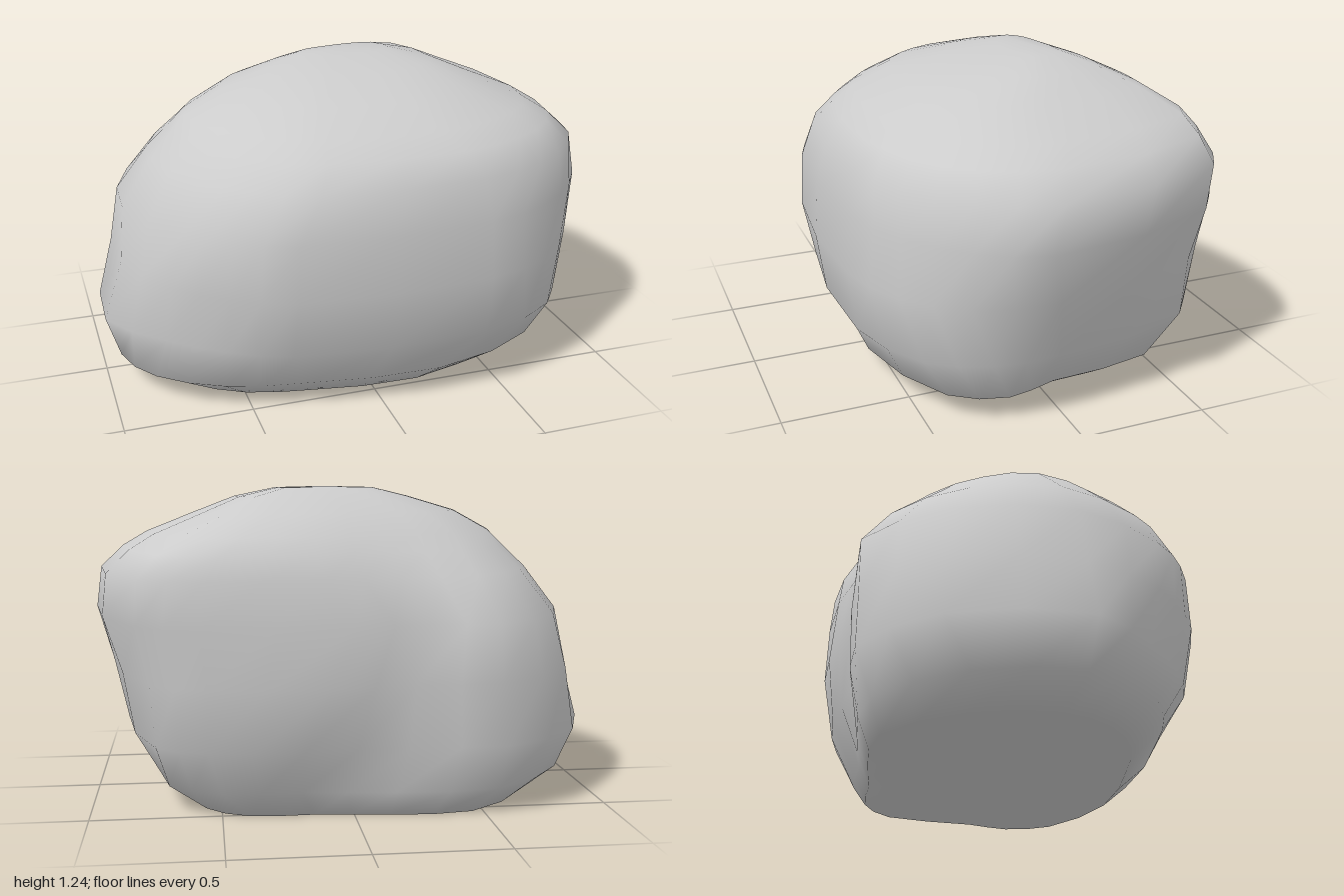
import * as THREE from 'three';

// Key outlines from below to above: [height, x, z, x, z, ...],
// running from the left side (+x) round the front, right side and back
const OUTLINES = [
  [0.1, 0.75, 0, 0.8, 0.2, 0.7, 0.41, 0.25, 0.58, -0.3, 0.53, -0.6, 0.46, -0.84, 0.3,
    -0.945, 0.08, -0.86, -0.3, -0.55, -0.6, -0.15, -0.61, 0.2, -0.57, 0.5, -0.56, 0.7, -0.42],
  [0.28, 0.87, 0.05, 0.86, 0.3, 0.74, 0.52, 0.4, 0.67, -0.37, 0.64, -0.6, 0.53, -0.8, 0.37,
    -1, 0.12, -0.9, -0.38, -0.57, -0.64, -0.2, -0.62, 0.2, -0.66, 0.55, -0.62, 0.74, -0.52],
  [0.52, 0.93, 0.08, 0.87, 0.4, 0.68, 0.61, 0.4, 0.72, -0.37, 0.71, -0.6, 0.6, -0.79, 0.43,
    -0.93, 0.12, -0.88, -0.36, -0.55, -0.65, -0.22, -0.65, 0.1, -0.71, 0.55, -0.68, 0.76, -0.54],
  [0.74, 1, 0.12, 0.88, 0.38, 0.67, 0.57, 0.4, 0.68, -0.35, 0.68, -0.58, 0.58, -0.73, 0.44,
    -0.9, 0.08, -0.82, -0.36, -0.53, -0.67, -0.27, -0.645, 0.02, -0.71, 0.58, -0.705, 0.81, -0.59],
  [1.06, 0.78, 0, 0.7, 0.28, 0.5, 0.44, 0.25, 0.52, -0.2, 0.5, -0.4, 0.4, -0.54, 0.25,
    -0.63, 0, -0.56, -0.2, -0.4, -0.38, -0.1, -0.5, 0.15, -0.58, 0.42, -0.61, 0.64, -0.56],
];

// Extents of every ring: height, min x, max x, min z, max z
const LEVELS = [
  [0, -0.78, 0.64, -0.57, 0.47],
  [0.1, -0.945, 0.8, -0.62, 0.585],
  [0.28, -1, 0.88, -0.68, 0.685],
  [0.52, -0.93, 0.93, -0.72, 0.72],
  [0.74, -0.9, 1, -0.715, 0.705],
  [0.91, -0.78, 0.975, -0.7, 0.675],
  [1, -0.69, 0.88, -0.65, 0.6],
  [1.06, -0.63, 0.78, -0.61, 0.52],
  [1.14, -0.48, 0.58, -0.49, 0.37],
  [1.2, -0.27, 0.43, -0.36, 0.14],
  [1.235, -0.12, 0.27, -0.25, -0.06],
];
const SIDES = 28;

// Blend the two nearest key outlines, round the result and fit it to the extents
function ring([y, minX, maxX, minZ, maxZ]) {
  let k = 0;
  while (k < OUTLINES.length - 2 && OUTLINES[k + 1][0] <= y) k++;
  const a = OUTLINES[k], b = OUTLINES[k + 1];
  const t = THREE.MathUtils.clamp((y - a[0]) / (b[0] - a[0]), 0, 1);
  const corners = [];
  for (let i = 1; i < a.length; i += 2) {
    corners.push(new THREE.Vector3(
      THREE.MathUtils.lerp(a[i], b[i], t), y, THREE.MathUtils.lerp(a[i + 1], b[i + 1], t)));
  }
  const curve = new THREE.CatmullRomCurve3(corners, true);
  const points = Array.from({ length: SIDES }, (_, i) => curve.getPoint(i / SIDES));
  const box = new THREE.Box3().setFromPoints(points);
  for (const p of points) {
    p.x = THREE.MathUtils.mapLinear(p.x, box.min.x, box.max.x, minX, maxX);
    p.z = THREE.MathUtils.mapLinear(p.z, box.min.z, box.max.z, minZ, maxZ);
  }
  return points;
}

function boulderGeometry() {
  const points = LEVELS.flatMap(ring);
  const bottom = points.length, top = bottom + 1;
  points.push(new THREE.Vector3(-0.05, 0, -0.03), new THREE.Vector3(0.08, 1.24, -0.17));

  const index = [];
  const last = (LEVELS.length - 1) * SIDES;
  for (let j = 0; j < SIDES; j++) {
    const n = (j + 1) % SIDES;
    // flat underside and crown
    index.push(bottom, j, n, top, last + n, last + j);
    // flanks
    for (let r = 0; r < last; r += SIDES) {
      index.push(r + j, r + SIDES + j, r + n, r + n, r + SIDES + j, r + SIDES + n);
    }
  }
  const geometry = new THREE.BufferGeometry().setFromPoints(points);
  geometry.setIndex(index);
  geometry.computeVertexNormals();
  return geometry;
}

export function createModel() {
  const group = new THREE.Group();
  group.name = 'rock';
  const boulder = new THREE.Mesh(
    boulderGeometry(), new THREE.MeshStandardMaterial({ color: 0xcccccc }));
  boulder.name = 'boulder';
  group.add(boulder);
  return group;
}
